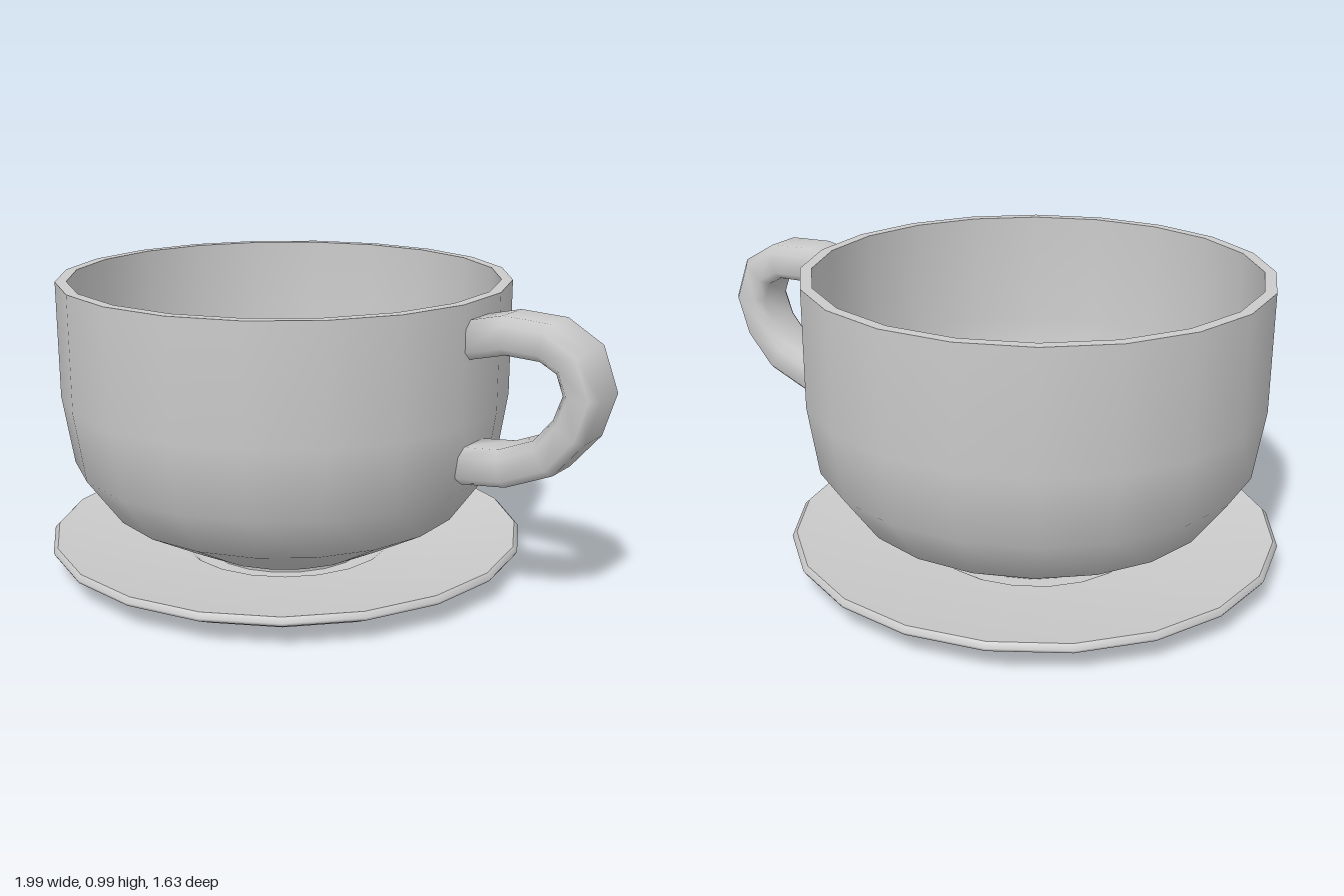
import * as THREE from 'three';

const CX = -0.185; // axis of cup and saucer
const SIDES = 20;
const material = new THREE.MeshStandardMaterial({ color: 0xcccccc });

// Each run of [radius, y] points is smooth; edges between runs stay sharp.
function turned(name, runs, phiStart) {
  const group = new THREE.Group();
  group.name = name;
  for (const [part, points] of Object.entries(runs)) {
    const profile = points.map(([r, y]) => new THREE.Vector2(r, y));
    const mesh = new THREE.Mesh(new THREE.LatheGeometry(profile, SIDES, phiStart), material);
    mesh.name = part;
    group.add(mesh);
  }
  group.position.x = CX;
  return group;
}

// Sweeps a bevelled section along a path lying in the xy plane.
function sweptHandle(path, section) {
  const positions = [], indices = [];
  const n = section.length, last = path.length - 1;
  path.forEach(([x, y], i) => {
    const a = path[Math.max(i - 1, 0)], b = path[Math.min(i + 1, last)];
    const t = new THREE.Vector2(b[0] - a[0], b[1] - a[1]).normalize();
    for (const [w, h] of section) positions.push(x - t.y * h, y + t.x * h, w);
  });
  for (let i = 0; i < last; i++) {
    for (let j = 0; j < n; j++) {
      const a = i * n + j, b = i * n + (j + 1) % n;
      indices.push(a, b, a + n, b, b + n, a + n);
    }
  }
  // End caps
  for (let j = 1; j < n - 1; j++) {
    indices.push(0, j + 1, j);
    indices.push(last * n, last * n + j, last * n + j + 1);
  }
  const geometry = new THREE.BufferGeometry();
  geometry.setAttribute('position', new THREE.Float32BufferAttribute(positions, 3));
  geometry.setIndex(indices);
  geometry.computeVertexNormals();
  return geometry;
}

export function createModel() {
  const model = new THREE.Group();
  model.name = 'cupAndSaucer';

  // Saucer with a shallow well under the cup
  model.add(turned('saucer', {
    saucerBase: [[0, 0], [0.38, 0]],
    saucerUnderside: [[0.38, 0], [0.72, 0.035], [0.808, 0.078], [0.815, 0.09], [0.8, 0.105]],
    saucerTop: [[0.8, 0.105], [0.775, 0.1], [0.55, 0.065], [0.36, 0.048]],
    saucerWell: [[0.36, 0.048], [0.33, 0.03], [0, 0.03]],
  }, 0));

  // Cup: foot, bowl, rim, inside wall and flat floor
  model.add(turned('cup', {
    cupFoot: [[0.28, 0.03], [0.28, 0.055], [0.33, 0.06]],
    cupBowl: [[0.33, 0.06], [0.415, 0.105], [0.605, 0.21], [0.72, 0.37], [0.755, 0.6], [0.755, 0.985]],
    cupRim: [[0.755, 0.985], [0.718, 0.985]],
    cupInside: [[0.718, 0.985], [0.718, 0.6], [0.685, 0.385], [0.625, 0.26]],
    cupFloor: [[0.625, 0.26], [0, 0.26]],
  }, THREE.MathUtils.degToRad(10)));

  // Handle on the model's left, from lower to upper joint
  const path = [
    [0.535, 0.466], [0.683, 0.484], [0.82, 0.542], [0.9, 0.637], [0.935, 0.744],
    [0.897, 0.844], [0.81, 0.893], [0.675, 0.898], [0.54, 0.865],
  ];
  const section = [
    [-0.06, 0.06], [0.06, 0.06], [0.09, 0.035], [0.09, -0.035],
    [0.06, -0.06], [-0.06, -0.06], [-0.09, -0.035], [-0.09, 0.035],
  ];
  const handle = new THREE.Mesh(sweptHandle(path, section), material);
  handle.name = 'handle';
  model.add(handle);

  return model;
}
